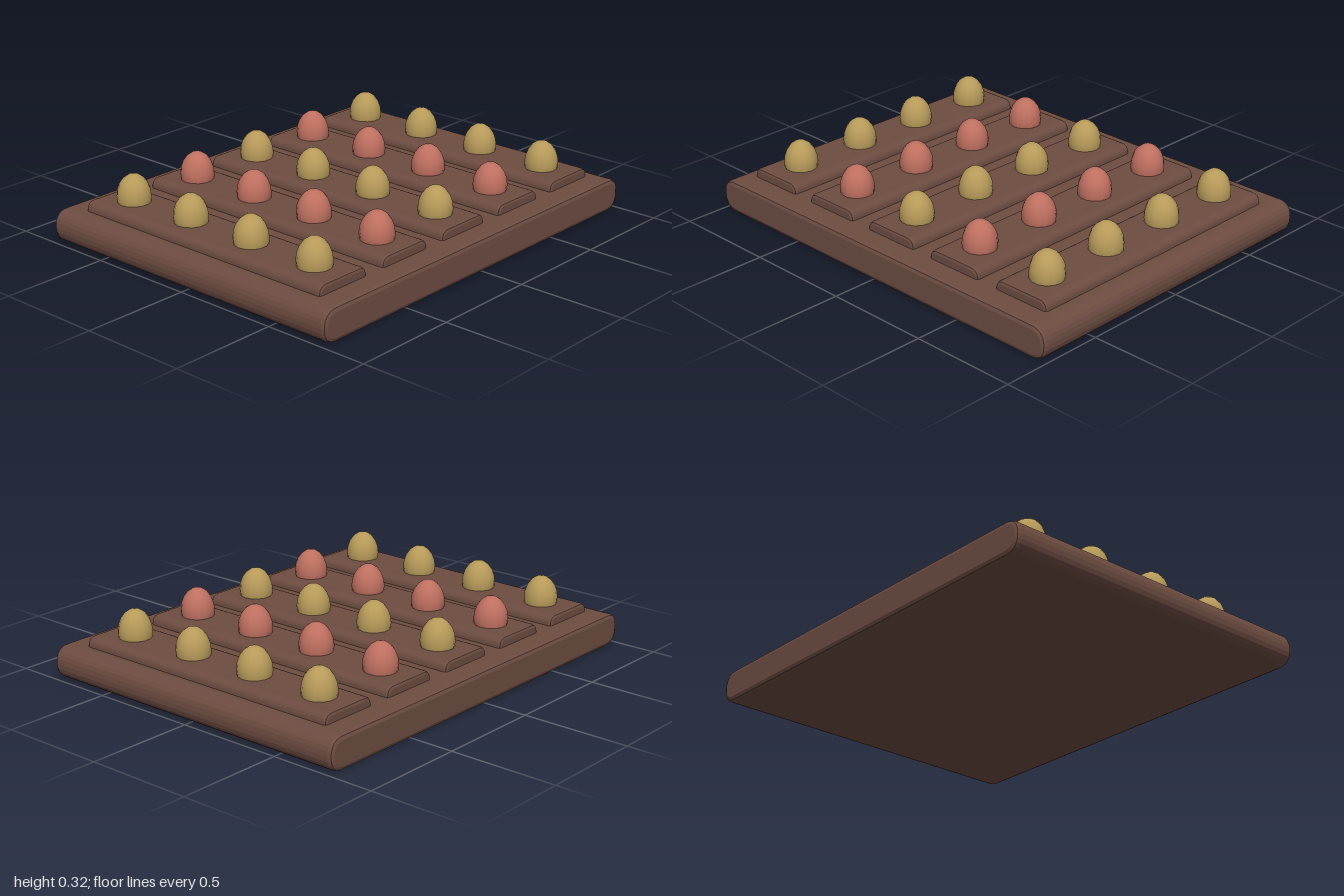
import * as THREE from 'three';

const chocolate = new THREE.MeshStandardMaterial({ color: 0x6d4c41 });
chocolate.name = 'chocolate brown';
const gold = new THREE.MeshStandardMaterial({ color: 0xb89b5a });
gold.name = 'muted gold';
const rose = new THREE.MeshStandardMaterial({ color: 0xbf7060 });
rose.name = 'dusty rose';

// Rounded bar lying along z, with bevelled ends; its base sits on y = 0
function barGeometry(width, height, length, radius, bevel) {
  const w = width / 2 - bevel, h = height / 2 - bevel, r = radius - bevel;
  const s = new THREE.Shape();
  s.moveTo(-w + r, -h);
  s.lineTo(w - r, -h);
  s.quadraticCurveTo(w, -h, w, -h + r);
  s.lineTo(w, h - r);
  s.quadraticCurveTo(w, h, w - r, h);
  s.lineTo(-w + r, h);
  s.quadraticCurveTo(-w, h, -w, h - r);
  s.lineTo(-w, -h + r);
  s.quadraticCurveTo(-w, -h, -w + r, -h);
  const depth = length - 2 * bevel;
  const g = new THREE.ExtrudeGeometry(s, {
    depth, curveSegments: 6, bevelEnabled: true,
    bevelThickness: bevel, bevelSize: bevel, bevelSegments: 2,
  });
  return g.translate(0, height / 2, -depth / 2);
}

export function createModel() {
  const model = new THREE.Group();
  model.name = 'chocolateTray';

  function add(parent, name, geometry, material, x, y, z) {
    const mesh = new THREE.Mesh(geometry, material);
    mesh.name = name;
    mesh.position.set(x, y, z);
    parent.add(mesh);
  }

  // Base slab
  add(model, 'slab', barGeometry(2, 0.152, 1.6, 0.075, 0.02), chocolate, 0, 0, 0);

  // Raised strips, each carrying a row of egg-shaped sweets
  const stripGeometry = barGeometry(0.282, 0.085, 1.376, 0.042, 0.014);
  const eggGeometry = new THREE.SphereGeometry(0.077, 14, 10);
  eggGeometry.scale(1, 1.36, 1);

  for (let i = 0; i < 5; i++) {
    const row = new THREE.Group();
    row.name = 'row' + (i + 1);
    row.position.x = (i - 2) * 0.382;
    add(row, 'strip', stripGeometry, chocolate, 0, 0.112, 0);
    for (let j = 0; j < 4; j++) {
      add(row, 'sweet', eggGeometry, i % 2 ? rose : gold, 0, 0.22, (j - 1.5) * 0.355);
    }
    model.add(row);
  }
  return model;
}
